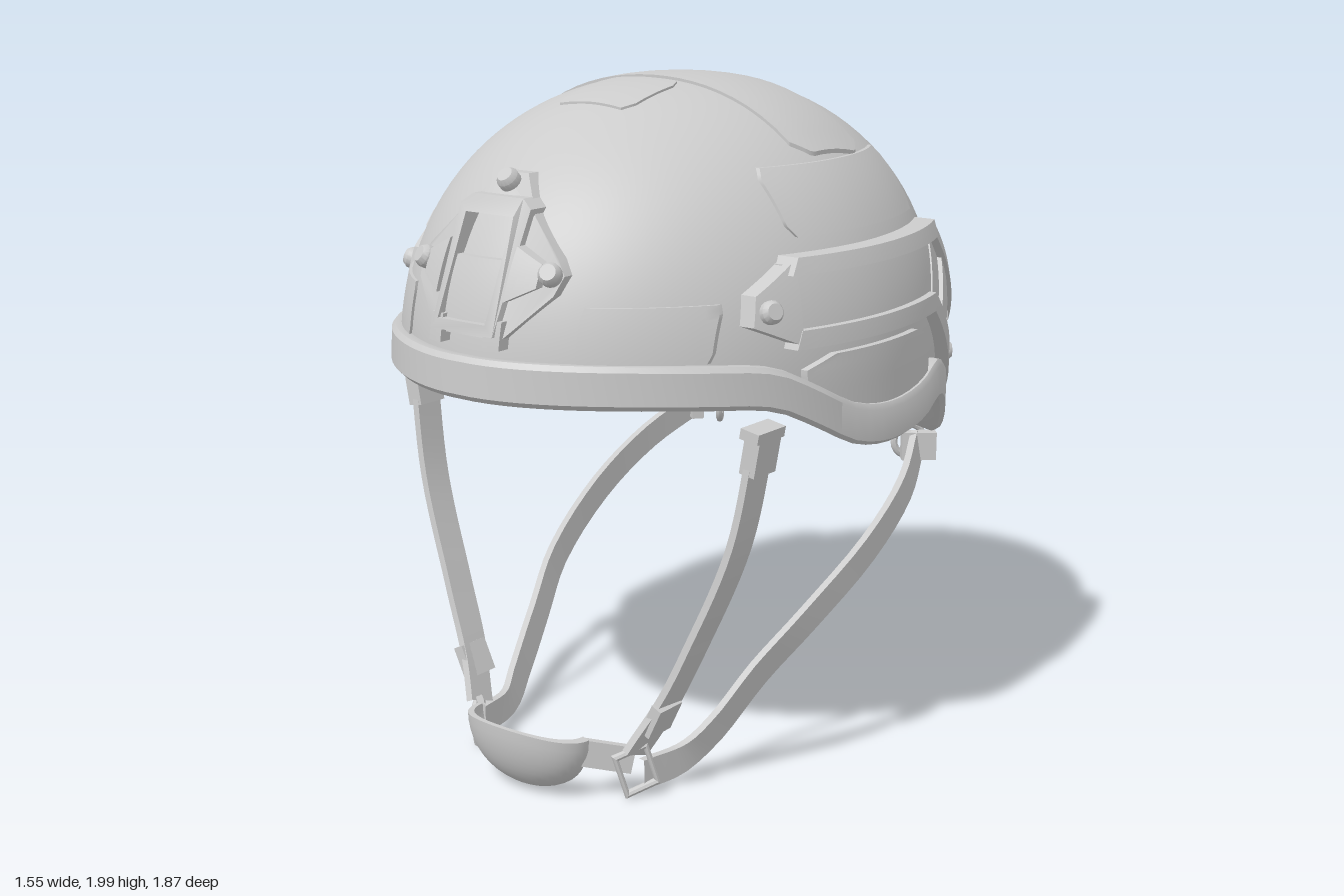
import * as THREE from 'three';
import { toCreasedNormals } from 'three/addons/utils/BufferGeometryUtils.js';

const V = (x, y, z) => new THREE.Vector3(x, y, z);
const RX = 0.74, RY = 0.792, RZ = 0.9, Y0 = 1.2; // shell radii and widest level
const POW = 2.2; // dome fullness: slightly squarer than an ellipse
const plan = (front) => (front ? 1.88 : 2); // plan outline: the front half tapers more
const mat = new THREE.MeshStandardMaterial({ color: 0xcccccc });
const matDouble = new THREE.MeshStandardMaterial({ color: 0xcccccc, side: THREE.DoubleSide });

// height of the lower edge by angle from the front
const rimCurve = new THREE.CubicInterpolant(
  [0, 50, 62, 71, 79, 90, 103, 112, 119, 127, 135, 145, 155, 165, 180],
  [1.2, 1.187, 1.165, 1.1, 1.04, 1.015, 1.03, 1.06, 1.03, 0.95, 0.875, 0.845, 0.87, 0.91, 0.93], 1);
const rimY = (a) => rimCurve.evaluate(THREE.MathUtils.radToDeg(a > Math.PI ? 2 * Math.PI - a : a))[0];

// point on the shell: a around, e elevation (straight wall below zero), o outward offset
const signedPow = (v, p) => Math.sign(v) * Math.abs(v) ** p;
function shellPoint(a, e, o) {
  const r = e > 0 ? Math.max(0, Math.cos(e)) ** (2 / POW) : 1;
  const h = e > 0 ? Math.sin(e) ** (2 / POW) : e;
  const p = 2 / plan(Math.cos(a) > 0);
  return V(signedPow(Math.sin(a), p) * (RX + o) * r, Y0 + (RY + o) * h, signedPow(Math.cos(a), p) * (RZ + o) * r);
}
const elevation = (y) => (y > Y0 ? Math.asin(((y - Y0) / RY) ** (POW / 2)) : (y - Y0) / RY);

// projects plane coordinates onto the shell from one direction
const dome = (v) => Math.max(0, 1 - Math.max(0, v) ** POW) ** (1 / POW);
const wall = (y, o, s, p) => Math.max(0, dome((y - Y0) / (RY + o)) ** p - Math.abs(s) ** p) ** (1 / p);
const project = {
  top: (x, z, o) => {
    const p = plan(z > 0);
    return V(x, Y0 + (RY + o) * dome((Math.abs(x / (RX + o)) ** p + Math.abs(z / (RZ + o)) ** p) ** (1 / p)), z);
  },
  side: (z, y, o) => V((RX + o) * wall(y, o, z / (RZ + o), plan(z > 0)), y, z),
  front: (x, y, o) => V(x, y, (RZ + o) * wall(y, o, x / (RX + o), plan(true))),
  back: (x, y, o) => V(x, y, -(RZ + o) * wall(y, o, x / (RX + o), plan(false))),
};
function mapVertices(geo, fn) {
  const p = geo.attributes.position;
  for (let i = 0; i < p.count; i++) {
    const v = fn(p.getX(i), p.getY(i), p.getZ(i));
    p.setXYZ(i, v.x, v.y, v.z);
  }
  return geo;
}

// slab following the shell: corners bottom-left, bottom-right, top-right, top-left
function slab(view, [bl, br, tr, tl], o0, o1, chamfer = 0, n = 12) {
  return mapVertices(new THREE.BoxGeometry(2, 2, 1, n, n, 1), (u, v, w) => {
    u *= 1 - chamfer * Math.max(0, (Math.abs(v) - 0.66) / 0.34);
    const s = (u + 1) / 2, t = (v + 1) / 2;
    const mix = (k) => (1 - t) * ((1 - s) * bl[k] + s * br[k]) + t * ((1 - s) * tl[k] + s * tr[k]);
    return project[view](mix(0), mix(1), w > 0 ? o1 : o0);
  });
}
const rect = (l, r, b, t) => [[l, b], [r, b], [r, t], [l, t]];

// surface through rows of points, each row a closed loop
function loft(rows) {
  const m = rows[0].length, index = [];
  for (let i = 0; i < rows.length - 1; i++)
    for (let j = 0; j < m; j++) {
      const a = i * m + j, b = i * m + (j + 1) % m, c = a + m, d = b + m;
      index.push(a, b, d, a, d, c);
    }
  const geo = new THREE.BufferGeometry().setFromPoints(rows.flat());
  geo.setIndex(index);
  return geo;
}

// flat webbing swept along a path
function strap(points, width, thick = 0.022) {
  const curve = new THREE.CatmullRomCurve3(points.map((p) => V(...p)));
  const rows = [];
  for (let i = 0; i <= 28; i++) {
    const p = curve.getPoint(i / 28), t = curve.getTangent(i / 28);
    const w = t.clone().cross(V(1, 0, 0)).normalize(), n = w.clone().cross(t).normalize();
    rows.push([[-1, 1], [1, 1], [1, -1], [-1, -1]].map(([a, b]) =>
      p.clone().addScaledVector(w, a * width / 2).addScaledVector(n, b * thick / 2)));
  }
  return loft(rows);
}

function place(geo, pos, rot = [0, 0, 0]) {
  const q = new THREE.Quaternion().setFromEuler(new THREE.Euler(...rot));
  return geo.applyMatrix4(new THREE.Matrix4().compose(V(...pos), q, V(1, 1, 1)));
}

// domed bolt head standing along the shell normal, or against it inside the shell
function bolt(pos, facing = 1, r = 0.032, h = 0.035) {
  const n = V(pos.x / RX ** 2, Math.max(0, pos.y - Y0) / RY ** 2, pos.z / RZ ** 2).normalize().multiplyScalar(facing);
  const profile = [[0, 0], [r, 0], [r, h * 0.6], [r * 0.7, h], [0, h]].map((p) => new THREE.Vector2(...p));
  const geo = new THREE.LatheGeometry(profile, 16);
  geo.applyQuaternion(new THREE.Quaternion().setFromUnitVectors(V(0, 1, 0), n));
  return geo.translate(pos.x, pos.y, pos.z);
}

export function createModel() {
  const model = new THREE.Group();
  const add = (name, geo, material = mat, crease = 0.6) => {
    const mesh = new THREE.Mesh(toCreasedNormals(geo, crease), material);
    mesh.name = name;
    model.add(mesh);
  };
  // adds a part on the left and its mirror image on the right
  const pair = (name, geo) => {
    const left = geo.index ? geo.toNonIndexed() : geo;
    const p = left.attributes.position, out = [];
    for (let i = 0; i < p.count; i += 3)
      for (const k of [i, i + 2, i + 1]) out.push(V(-p.getX(k), p.getY(k), p.getZ(k)));
    add(name + 'Left', left);
    add(name + 'Right', new THREE.BufferGeometry().setFromPoints(out));
  };

  // shell, outside and inside (the lining faces inwards)
  const N = 96, angles = Array.from({ length: N }, (_, i) => i / N * 2 * Math.PI);
  const shell = (o) => Array.from({ length: 33 }, (_, i) => angles.map((a) =>
    shellPoint(a, THREE.MathUtils.lerp(elevation(rimY(a) + 0.02), Math.PI / 2, i / 32), o)));
  add('outerShell', loft(shell(0)), mat, 1);
  add('innerShell', loft(shell(-0.05).reverse()), mat, 1);

  // edge trim wrapped around the lower border
  const section = [[-0.055, 0], [-0.068, 0.01], [-0.068, 0.09], [-0.05, 0.1], [-0.005, 0.118], [0.026, 0.115], [0.036, 0.1], [0.036, 0.015], [0.02, 0]];
  const trim = angles.map((a) => section.map(([o, dy]) => shellPoint(a, elevation(rimY(a) + dy), o)));
  add('edgeTrim', loft([...trim, trim[0]]));

  // fabric patches
  const T = 0.008;
  add('crownPatch', slab('top', rect(-0.52, 0.52, 0.1, -0.23), -0.02, T, 0.08, 20));
  add('frontCrownPatch', slab('top', rect(-0.13, 0.13, 0.38, 0.13), -0.02, 0.006, 0.15));
  add('rearCrownPatch', slab('top', rect(-0.11, 0.11, -0.27, -0.48), -0.02, 0.006, 0.12));
  add('backPatch', slab('back', rect(0.34, -0.34, 1.08, 1.4), -0.02, 0.015, 0.06));
  pair('upperSidePatch', slab('side', rect(0.28, -0.38, 1.61, 1.785), -0.02, T, 0.06));
  pair('browPatch', slab('front', rect(0.3, 0.56, 1.31, 1.46), -0.02, T, 0.05));
  pair('earPatch', slab('side', [[0.3, 1.1], [-0.26, 1.1], [-0.28, 1.3], [0.33, 1.3]], -0.02, 0.02, 0.35));

  // side rails: backing plates, raised bars and the slotted block
  const rail = [
    ['railPlate', [[0.36, 1.35], [-0.3, 1.36], [-0.42, 1.56], [0.35, 1.55]], 0.02],
    ['railRearPlate', [[-0.3, 1.36], [-0.65, 1.0], [-0.74, 1.2], [-0.42, 1.56]], 0.025],
    ['railTip', [[0.48, 1.4], [0.35, 1.34], [0.33, 1.56], [0.46, 1.48]], 0.04],
    ['railEnd', [[-0.5, 1.15], [-0.65, 1.0], [-0.74, 1.2], [-0.62, 1.34]], 0.035],
    ['railUpperBar', [[0.36, 1.525], [-0.4, 1.53], [-0.42, 1.575], [0.33, 1.57]], 0.055],
    ['railUpperRearBar', [[-0.4, 1.53], [-0.7, 1.19], [-0.745, 1.22], [-0.42, 1.575]], 0.05],
    ['railLowerBar', [[0.37, 1.33], [-0.28, 1.335], [-0.3, 1.385], [0.35, 1.38]], 0.042],
    ['railLowerRearBar', [[-0.28, 1.335], [-0.65, 1.0], [-0.68, 1.04], [-0.3, 1.385]], 0.042],
    ['railBlock', [[-0.37, 1.33], [-0.43, 1.27], [-0.54, 1.4], [-0.48, 1.47]], 0.038],
  ];
  for (const [name, corners, o] of rail) pair(name, slab('side', corners, -0.02, o));
  pair('railFrontBolt', bolt(project.side(0.43, 1.435, 0.035)));
  pair('railRearBolt', bolt(project.side(-0.67, 1.12, 0.03)));

  // front mount: three-eared plate with a window, raised frame and feet
  const poly = (pts) => pts.map((p) => new THREE.Vector2(...p));
  const windowHole = new THREE.Path(poly([[-0.085, 1.41], [-0.085, 1.68], [0.085, 1.68], [0.085, 1.41]]));
  const mountPart = (name, pts, o) => {
    const shape = new THREE.Shape(poly(pts));
    shape.holes.push(windowHole);
    const geo = new THREE.ExtrudeGeometry(shape, { depth: 1, bevelEnabled: false });
    add(name, mapVertices(geo, (x, y, z) => project.front(x, y, z > 0.5 ? o : -0.02)));
  };
  mountPart('mountPlate', [[-0.12, 1.37], [0.12, 1.37], [0.24, 1.49], [0.255, 1.54], [0.23, 1.58], [0.13, 1.68], [0.045, 1.78], [-0.045, 1.78], [-0.13, 1.68], [-0.23, 1.58], [-0.255, 1.54], [-0.24, 1.49]], 0.025);
  mountPart('mountFrame', [[-0.11, 1.38], [0.11, 1.38], [0.125, 1.7], [0.09, 1.725], [-0.09, 1.725], [-0.125, 1.7]], 0.045);
  add('mountInsert', slab('front', rect(-0.085, 0.085, 1.39, 1.57), -0.02, 0.02));
  pair('mountFoot', slab('front', rect(0.075, 0.125, 1.345, 1.42), -0.02, 0.035));
  pair('mountRib', slab('front', [[0.12, 1.47], [0.2, 1.51], [0.2, 1.57], [0.12, 1.61]], 0, 0.036));
  add('mountTopBolt', bolt(project.front(0, 1.755, 0.02)));
  pair('mountSideBolt', bolt(project.front(0.22, 1.54, 0.02)));

  // inside: padding, the mount's backing plate and the rail anchors
  pair('innerSidePad', slab('side', rect(0.3, -0.35, 1.2, 1.5), -0.06, -0.04, 0.2));
  add('mountBacking', slab('front', [[-0.12, 1.37], [0.12, 1.37], [0.25, 1.58], [-0.25, 1.58]], -0.07, -0.04));
  pair('mountBackingBolt', bolt(project.front(0.19, 1.54, -0.065), -1, 0.03, 0.025));
  pair('railAnchorPlate', slab('back', [[0.47, 0.99], [0.43, 0.99], [0.43, 1.19], [0.57, 1.16]], -0.075, -0.04));
  pair('railAnchorBolt', bolt(project.back(0.5, 1.12, -0.07), -1, 0.03, 0.025));

  // chin straps
  pair('frontStrap', strap([[0.635, 1.12, 0.43], [0.575, 0.78, 0.455], [0.455, 0.47, 0.49], [0.37, 0.28, 0.52], [0.3, 0.14, 0.57]], 0.095));
  pair('rearStrap', strap([[0.44, 0.8, -0.71], [0.51, 0.7, -0.52], [0.53, 0.57, -0.28], [0.49, 0.41, -0.01], [0.43, 0.28, 0.15], [0.38, 0.14, 0.3], [0.34, 0.075, 0.4], [0.31, 0.07, 0.55]], 0.09));
  pair('upperBuckle', place(new THREE.BoxGeometry(0.05, 0.13, 0.1), [0.63, 1.06, 0.435], [0, 0, -0.18]));
  pair('upperBuckleBar', place(new THREE.BoxGeometry(0.06, 0.03, 0.125), [0.635, 1.11, 0.435], [0, 0, -0.18]));
  pair('strapSlider', place(new THREE.BoxGeometry(0.035, 0.1, 0.1), [0.36, 0.25, 0.525], [0, 0, -0.45]));
  pair('rearTab', place(new THREE.BoxGeometry(0.11, 0.09, 0.04), [0.45, 0.79, -0.7], [0, 0.7, 0]));
  pair('rearRing', place(new THREE.TorusGeometry(0.052, 0.012, 8, 20), [0.38, 0.785, -0.755], [0, 1.0, 0]));
  const ring = new THREE.TorusGeometry(0.075, 0.013, 8, 4).rotateZ(Math.PI / 4).scale(0.9, 1.15, 1);
  pair('lowerBuckle', place(ring, [0.305, 0.09, 0.57], [0, 1.0, 0.3]));

  // chin cup: half bowl with a thick lip, its top edge arched
  const bowl = [];
  for (let i = 0; i <= 12; i++) bowl.push(new THREE.Vector2(Math.sin(i / 12 * Math.PI / 2), -Math.cos(i / 12 * Math.PI / 2)));
  for (let i = 12; i >= 0; i--) bowl.push(bowl[i].clone().multiplyScalar(0.9));
  const cup = new THREE.LatheGeometry(bowl, 28, -Math.PI / 2, Math.PI);
  add('chinCup', mapVertices(cup, (x, y, z) => V(x * 0.215, 0.22 + y * 0.215 - 0.03 * x * x, 0.67 + z * 0.14)), matDouble, 0.8);
  pair('chinWebbing', place(new THREE.BoxGeometry(0.15, 0.08, 0.02), [0.245, 0.135, 0.625], [0, 0.75, -0.2]));
  return model;
}
